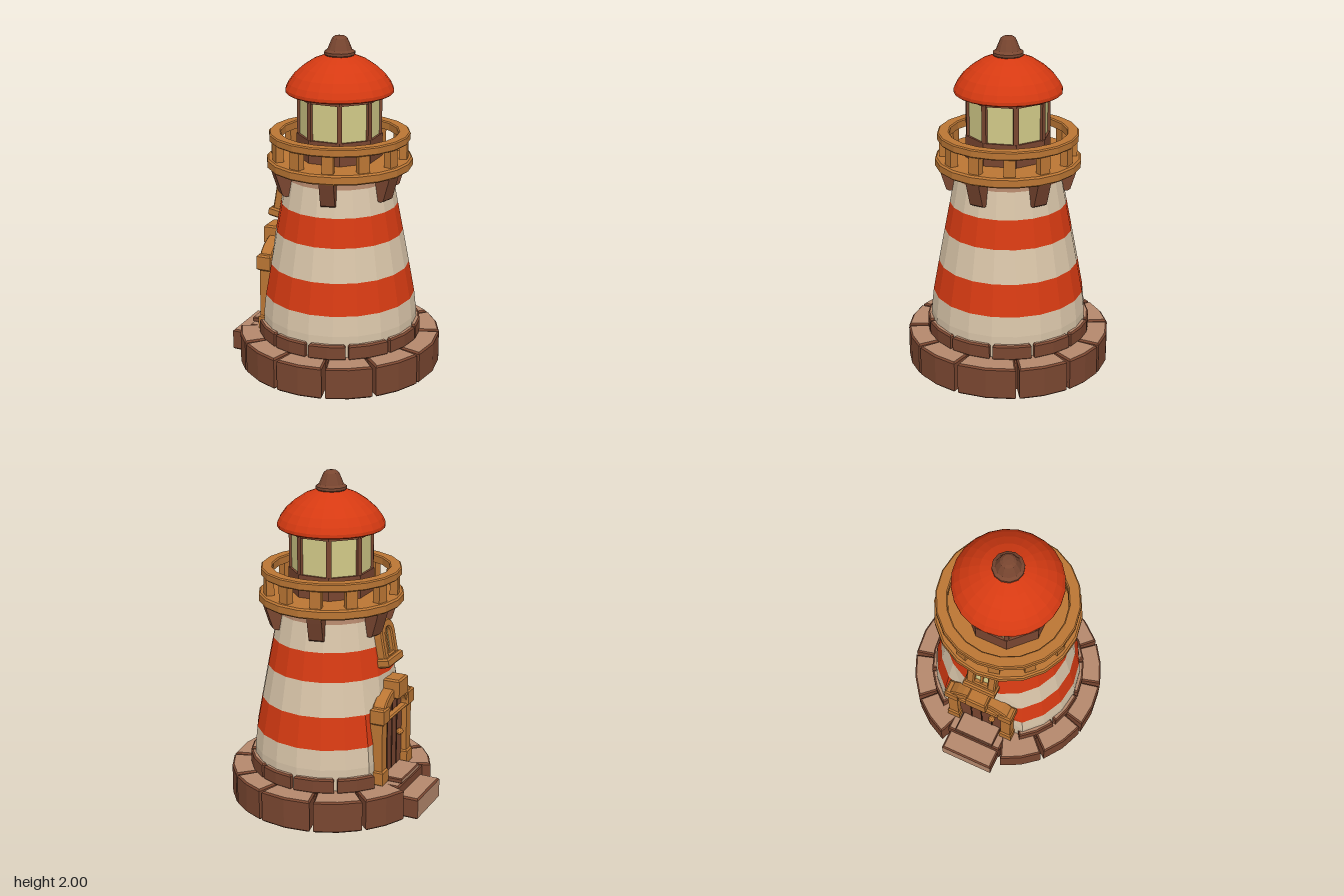
import * as THREE from 'three';

const mat = (name, color) => Object.assign(new THREE.MeshStandardMaterial({ color }), { name });
const CX = 0.027; // tower axis; the door step pushes the overall centre sideways
const RAD = Math.PI / 180;

export function createModel() {
  const red = mat('red paint', 0xd63a12), cream = mat('cream plaster', 0xd8c4a8);
  const brown = mat('brown wood and stone', 0x794630), tan = mat('worn stone', 0xb5886c);
  const orange = mat('honey wood', 0xbb7634), glass = mat('lamp glass', 0xd2ca88);
  const dark = mat('dark seam', 0x4e2b1d);

  const root = new THREE.Group();
  root.name = 'lighthouse';
  const tower = new THREE.Group();
  tower.name = 'tower';
  tower.position.x = CX;
  const entrance = new THREE.Group();
  entrance.name = 'entrance';
  root.add(tower, entrance);

  // faceted copy of a geometry
  const flat = (g) => {
    const f = g.index ? g.toNonIndexed() : g;
    f.computeVertexNormals();
    return f;
  };
  const add = (parent, name, geo, material) => {
    const m = new THREE.Mesh(flat(geo), material);
    m.name = name;
    parent.add(m);
    return m;
  };
  const lathe = (pts, n = 20) => new THREE.LatheGeometry(pts.map(([r, y]) => new THREE.Vector2(r, y)), n);
  const box = (x0, x1, y0, y1, z0, z1) => new THREE.BoxGeometry(x1 - x0, y1 - y0, z1 - z0)
    .translate((x0 + x1) / 2, (y0 + y1) / 2, (z0 + z1) / 2);

  // box with chamfered edges
  const slab = (x0, x1, y0, y1, z0, z1, b = 0.01) => {
    const s = new THREE.Shape();
    s.moveTo(x0 + b, -z0 - b); s.lineTo(x0 + b, -z1 + b);
    s.lineTo(x1 - b, -z1 + b); s.lineTo(x1 - b, -z0 - b);
    return extrudeUp(s, y0, y1, b);
  };
  const extrudeUp = (shape, y0, y1, b) => new THREE.ExtrudeGeometry(shape, {
    depth: y1 - y0 - 2 * b, bevelEnabled: true, bevelSize: b, bevelThickness: b, bevelSegments: 1, curveSegments: 8,
  }).rotateX(-Math.PI / 2).translate(0, y0 + b, 0);
  // extrude a (z, y) outline outwards toward -x
  const extrudeOut = (shape, xBack, xFront, b = 0.008) => new THREE.ExtrudeGeometry(shape, {
    depth: xBack - xFront - 2 * b, bevelEnabled: true, bevelSize: b, bevelThickness: b, bevelSegments: 1, curveSegments: 6,
  }).rotateY(-Math.PI / 2).translate(xBack - b, 0, 0);

  // stone: worn top faces, brown sides
  const stone = (parent, name, geo, wornFront = false) => {
    const m = add(parent, name, geo, [brown, tan]);
    const n = m.geometry.attributes.normal;
    m.geometry.clearGroups();
    for (let i = 0; i < n.count; i += 3) {
      const worn = n.getY(i) > 0.9 || (wornFront && n.getX(i) < -0.9);
      m.geometry.addGroup(i, 3, worn ? 1 : 0);
    }
  };
  const ringBlocks = (name, joints, rIn, rOut, y0, y1) => {
    const b = 0.01;
    for (let i = 0; i < joints.length - 1; i++) {
      const a = joints[i] * RAD, c = joints[i + 1] * RAD, gap = 0.013 / rOut + 0.012;
      const s = new THREE.Shape();
      const at = (r, t) => new THREE.Vector2(r * Math.cos(t), r * Math.sin(t));
      s.setFromPoints([at(rOut - b, a + gap), at(rOut - b, (a + c) / 2), at(rOut - b, c - gap),
        at(rIn, c - gap), at(rIn, (a + c) / 2), at(rIn, a + gap)]);
      stone(tower, name, extrudeUp(s, y0, y1, b));
    }
  };

  // two courses of foundation stones, open at the door
  ringBlocks('foundationStone', [-161, -134, -105, -76, -48, -18, 17, 47, 73, 105, 134, 161], 0.4, 0.608, 0, 0.195);
  ringBlocks('plinthStone', [-148, -118, -90, -62, -31, 0, 29, 60, 88, 119, 148], 0.36, 0.49, 0.19, 0.283);
  add(tower, 'foundationCore', new THREE.CylinderGeometry(0.49, 0.49, 0.17, 24).translate(0, 0.09, 0), brown);
  stone(entrance, 'threshold', slab(-0.5, -0.3, 0.002, 0.193, -0.18, 0.18));
  stone(entrance, 'lowerStep', slab(-0.62, -0.46, 0, 0.133, -0.17, 0.17), true);
  stone(entrance, 'upperStep', slab(-0.5, -0.36, 0.19, 0.222, -0.13, 0.13, 0.006), true);

  // striped tapering wall, flattened behind the door
  const rows = [[0.466, 0.2], [0.466, 0.33], [0.453, 0.45], [0.418, 0.64], [0.38, 0.84], [0.347, 1.01], [0.317, 1.17], [0.308, 1.24]];
  const bands = [['wallBase', 0, 2, cream], ['lowerRedBand', 2, 3, red], ['middleCreamBand', 3, 4, cream],
    ['upperRedBand', 4, 5, red], ['topCreamBand', 5, 6, cream], ['wallCollar', 6, 7, tan]];
  for (const [name, i, j, m] of bands) {
    const g = lathe(rows.slice(i, j + 1));
    const p = g.attributes.position;
    for (let k = 0; k < p.count; k++) p.setX(k, Math.max(p.getX(k), -0.385));
    add(tower, name, g, m);
  }

  // gallery deck, handrail, balusters and brackets
  add(tower, 'galleryDeck', lathe([[0, 1.23], [0.418, 1.23], [0.43, 1.24], [0.43, 1.28], [0.42, 1.29], [0, 1.29]]), orange);
  add(tower, 'handrail', lathe([[0.345, 1.39], [0.408, 1.39], [0.415, 1.397], [0.415, 1.433], [0.408, 1.44],
    [0.352, 1.44], [0.345, 1.433], [0.345, 1.39]]), orange);
  for (let i = 0; i < 12; i++) {
    const p = add(tower, 'baluster', box(-0.033, 0.033, 1.28, 1.4, 0.355, 0.402), orange);
    p.rotation.y = (13 + i * 30) * RAD;
  }
  const bracketShape = new THREE.Shape([[-0.27, 1.235], [-0.41, 1.235], [-0.4, 1.2], [-0.365, 1.09], [-0.35, 1.08], [-0.3, 1.08]]
    .map(([x, y]) => new THREE.Vector2(x, y)));
  for (let i = 0; i < 6; i++) {
    const g = new THREE.ExtrudeGeometry(bracketShape, { depth: 0.085, bevelEnabled: false })
      .translate(0, 0, -0.0425).rotateY(Math.PI / 2);
    add(tower, 'galleryBracket', g, brown).rotation.y = (12 + i * 60) * RAD;
  }

  // lantern room
  const oct = (r, y0, y1) => new THREE.CylinderGeometry(r, r, y1 - y0, 8).rotateY(Math.PI / 8).translate(0, (y0 + y1) / 2, 0);
  add(tower, 'lanternBase', oct(0.252, 1.28, 1.425), brown);
  add(tower, 'lanternGlass', oct(0.237, 1.42, 1.65), glass);
  add(tower, 'lanternHead', oct(0.25, 1.64, 1.672), brown);
  for (let i = 0; i < 8; i++) {
    const p = add(tower, 'lanternPost', box(-0.015, 0.015, 1.42, 1.65, 0.218, 0.247), brown);
    p.rotation.y = (22.5 + i * 45) * RAD;
  }

  // domed roof and finial
  add(tower, 'roofSoffit', lathe([[0, 1.668], [0.303, 1.668]]), brown);
  add(tower, 'roofDome', lathe([[0.303, 1.668], [0.315, 1.676], [0.315, 1.695], [0.298, 1.73], [0.265, 1.775],
    [0.215, 1.82], [0.155, 1.86], [0.09, 1.886], [0, 1.9]], 24), red);
  add(tower, 'finial', lathe([[0.08, 1.88], [0.09, 1.893], [0.09, 1.908], [0.072, 1.92], [0.066, 1.935], [0.06, 1.95],
    [0.045, 1.985], [0.03, 1.997], [0, 2]], 12), brown);

  // arched outline with straight legs; hw = half width
  const arch = (Type, hw, y0, ySpring, rise) => {
    const s = new Type();
    s.moveTo(hw, y0);
    s.lineTo(hw, ySpring);
    s.absellipse(0, ySpring, hw, rise, 0, Math.PI, false, 0);
    s.lineTo(-hw, y0);
    s.closePath();
    return s;
  };

  // door with its frame
  add(entrance, 'door', extrudeOut(arch(THREE.Shape, 0.15, 0.2, 0.58, 0.11), -0.32, -0.372), brown);
  for (const z of [-0.07, 0, 0.07]) add(entrance, 'doorSeam', box(-0.376, -0.37, 0.22, 0.64, z - 0.004, z + 0.004), dark);
  add(entrance, 'doorKnob', new THREE.IcosahedronGeometry(0.022, 1).translate(-0.392, 0.43, 0.08), orange);
  const doorArch = arch(THREE.Shape, 0.205, 0.58, 0.61, 0.14);
  doorArch.holes.push(arch(THREE.Path, 0.145, 0.585, 0.6, 0.095));
  add(entrance, 'doorArch', extrudeOut(doorArch, -0.33, -0.412), orange);
  for (const s of [-1, 1]) {
    const post = (name, x, y0, y1, w) => add(entrance, name,
      slab(x, -0.33, y0, y1, s * 0.18 - w / 2, s * 0.18 + w / 2), orange);
    post('doorPillar', -0.405, 0.2, 0.6, 0.066);
    post('pillarFoot', -0.415, 0.19, 0.285, 0.082);
    post('pillarCapital', -0.42, 0.575, 0.675, 0.088);
  }
  add(entrance, 'doorKeystone', slab(-0.445, -0.34, 0.69, 0.81, -0.065, 0.065), orange);

  // arched window leaning with the wall
  const windowGroup = new THREE.Group();
  windowGroup.name = 'window';
  windowGroup.position.set(-0.317, 1.0, 0);
  windowGroup.rotation.z = -0.18;
  entrance.add(windowGroup);
  const frame = arch(THREE.Shape, 0.085, -0.08, 0.06, 0.085);
  frame.holes.push(arch(THREE.Path, 0.05, -0.06, 0.06, 0.05));
  add(windowGroup, 'windowFrame', extrudeOut(frame, 0.03, -0.04), orange);
  add(windowGroup, 'windowPane', extrudeOut(arch(THREE.Shape, 0.055, -0.07, 0.06, 0.055), 0.02, -0.012, 0.002), glass);
  add(windowGroup, 'windowBar', box(-0.025, 0, -0.07, 0.11, -0.008, 0.008), orange);
  add(windowGroup, 'windowSill', slab(-0.06, 0.03, -0.12, -0.065, -0.105, 0.105), orange);
  return root;
}
